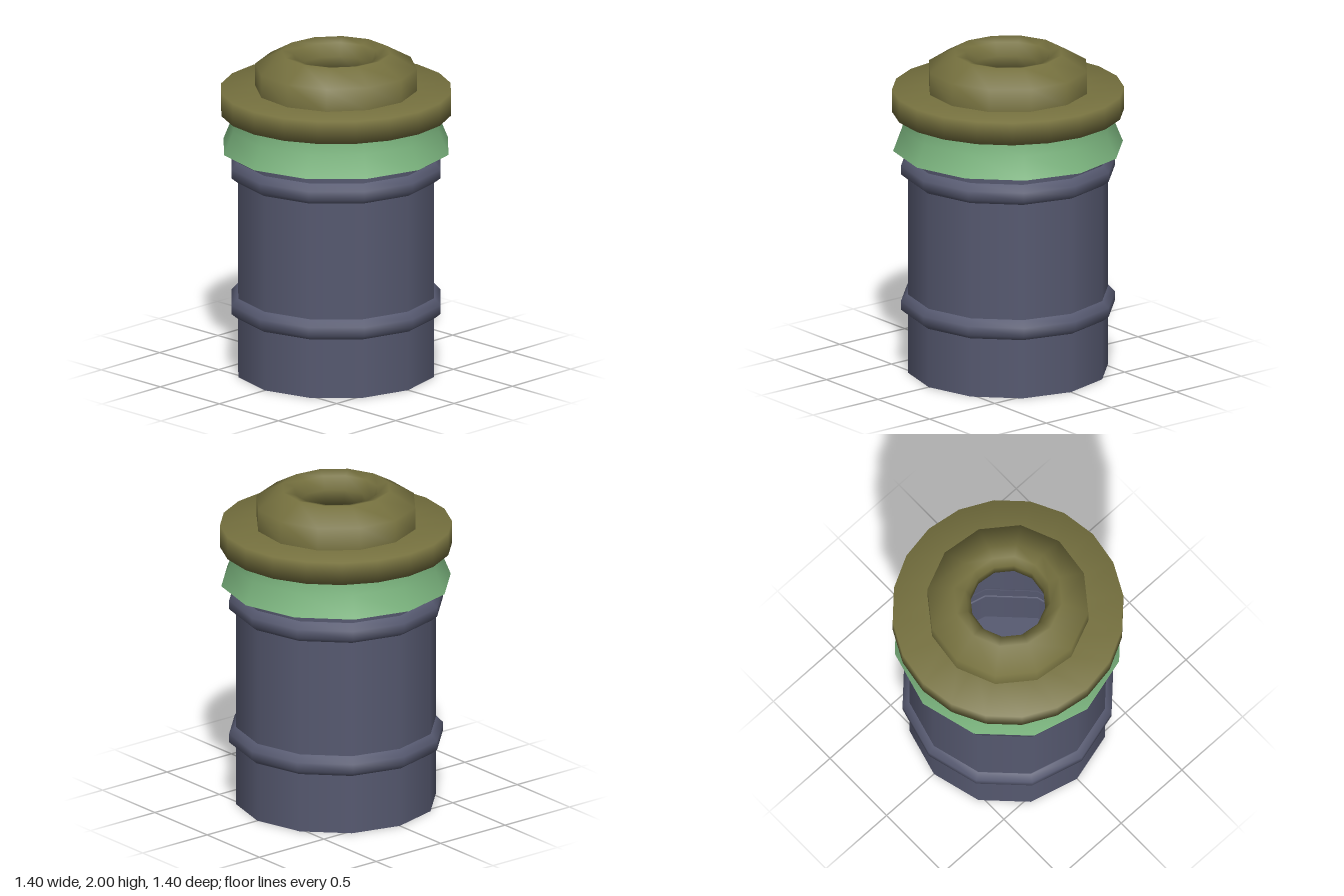
import * as THREE from 'three';

const material = (color) => new THREE.MeshStandardMaterial({ color, side: THREE.DoubleSide });

export function createModel() {
  const model = new THREE.Group();
  const metal = material(0x565970);
  const olive = material(0x76713f);
  const green = material(0x7db780);

  // Turn a profile of [radius, height] pairs around the y axis
  const turned = (name, profile, sides, mat, turn = 0) => {
    const points = profile.map(([r, y]) => new THREE.Vector2(r, y));
    const mesh = new THREE.Mesh(new THREE.LatheGeometry(points, sides), mat);
    mesh.name = name;
    mesh.rotation.y = turn;
    model.add(mesh);
  };

  // Hollow drum with a flat floor
  turned('barrelWall', [[0.61, 0], [0.61, 1.63]], 12, metal);
  turned('barrelFloor', [[0, 0], [0.61, 0]], 12, metal);

  // Two raised hoops
  for (const [name, y] of [['lowerHoop', 0.37], ['upperHoop', 1.225]]) {
    turned(name, [[0.6, y], [0.615, y], [0.652, y + 0.03], [0.652, y + 0.085],
      [0.615, y + 0.125], [0.6, y + 0.125]], 12, metal);
  }

  // Liner folded over the rim, flaring at its lower edge
  turned('linerSkirt', [[0.7, 1.405], [0.645, 1.54], [0.64, 1.64]], 12, green);

  // Wide lid rim
  turned('lidRim', [[0.4, 1.63], [0.7, 1.63], [0.7, 1.77], [0.4, 1.77]], 20, olive);

  // Raised collar around the opening
  turned('lidCollar', [[0.49, 1.76], [0.49, 1.91], [0.33, 2], [0.26, 1.98],
    [0.23, 1.9], [0.23, 1.81], [0.4, 1.7]], 12, olive, 0.14);

  return model;
}
